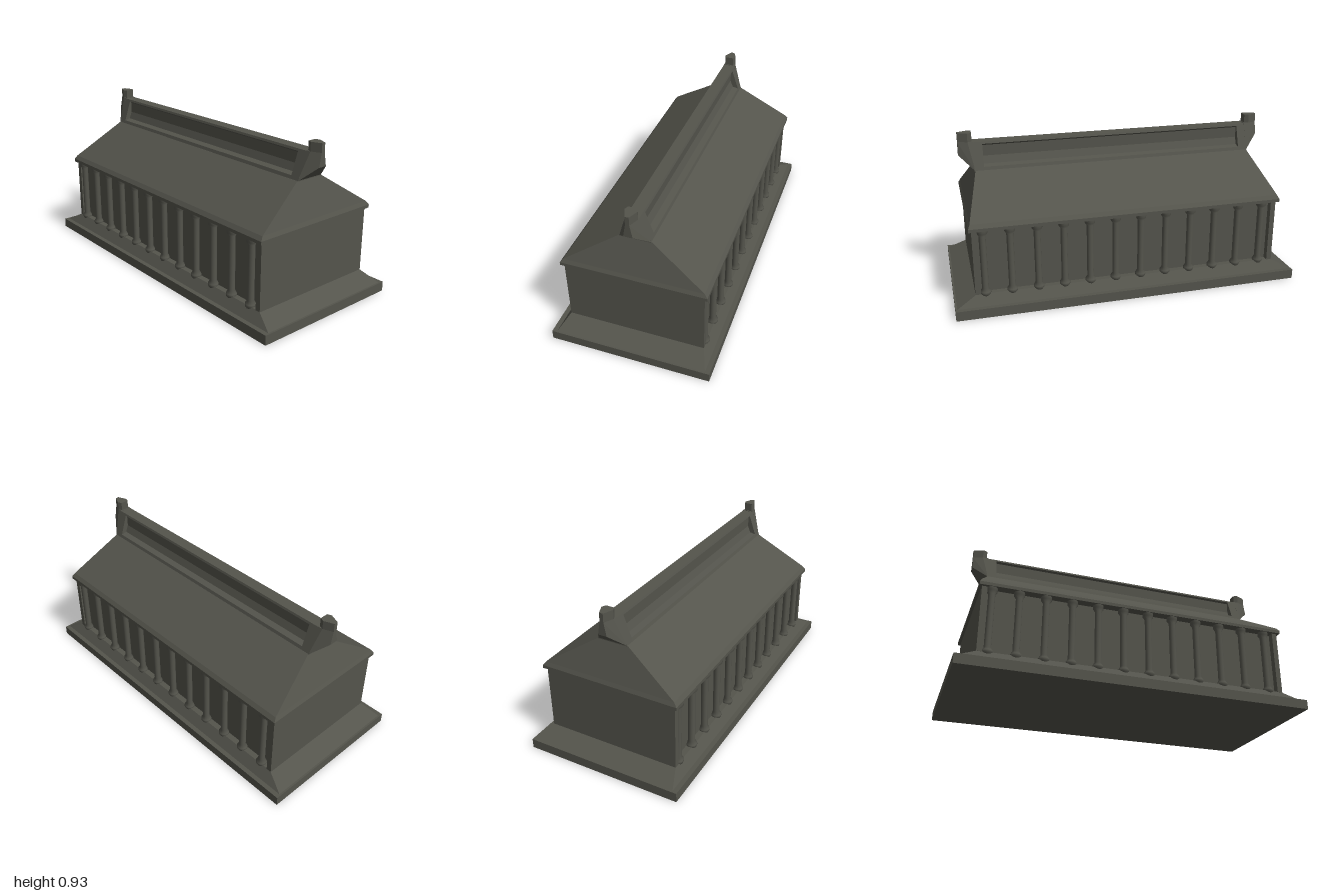
import * as THREE from 'three';
import { ConvexGeometry } from 'three/addons/geometries/ConvexGeometry.js';

const stone = new THREE.MeshStandardMaterial({ color: 0x54544c });
stone.name = 'dark stone';

function add(parent, name, geometry, x = 0, y = 0, z = 0) {
  const mesh = new THREE.Mesh(geometry, stone);
  mesh.name = name;
  mesh.position.set(x, y, z);
  parent.add(mesh);
  return mesh;
}

// Closed stack of rectangles, each given as [half x, half z, y]
function stack(rings) {
  const pos = [], idx = [];
  rings.forEach(([x, z, y]) => pos.push(x, y, z, x, y, -z, -x, y, -z, -x, y, z));
  for (let i = 0; i < rings.length - 1; i++) {
    for (let j = 0; j < 4; j++) {
      const a = i * 4 + j, b = i * 4 + (j + 1) % 4;
      idx.push(a, b, b + 4, a, b + 4, a + 4);
    }
  }
  const t = (rings.length - 1) * 4;
  idx.push(0, 2, 1, 0, 3, 2, t, t + 1, t + 2, t, t + 2, t + 3);
  const g = new THREE.BufferGeometry();
  g.setAttribute('position', new THREE.Float32BufferAttribute(pos, 3));
  g.setIndex(idx);
  const flat = g.toNonIndexed();
  flat.computeVertexNormals();
  return flat;
}

// Symmetric [z, y] half profile extruded along x
function ridgePiece(half, x0, x1) {
  const pts = [...half, ...half.map(([z, y]) => [-z, y]).reverse()];
  const shape = new THREE.Shape(pts.map(([z, y]) => new THREE.Vector2(z, y)));
  const g = new THREE.ExtrudeGeometry(shape, { depth: x1 - x0, bevelEnabled: false });
  g.rotateY(Math.PI / 2);
  g.translate(x0, 0, 0);
  return g;
}

export function createModel() {
  const model = new THREE.Group();
  model.name = 'colonnadedHall';

  // Plinth with sloping upper face
  add(model, 'plinth', stack([[1, 0.457, 0], [1, 0.457, 0.055]]));
  add(model, 'plinthSlope', stack([[0.99, 0.43, 0.055], [0.88, 0.388, 0.112]]));

  // Recessed core and full-width end walls
  add(model, 'hallWalls', new THREE.BoxGeometry(1.72, 0.38, 0.71), 0, 0.3, 0);
  for (const s of [-1, 1]) {
    add(model, 'endWall', new THREE.BoxGeometry(0.03, 0.38, 0.78), s * 0.87, 0.3, 0);
  }

  // Twelve columns on each long side
  const profile = [[0, 0.09], [0.022, 0.095], [0.03, 0.11], [0.03, 0.122], [0.019, 0.14],
    [0.019, 0.45], [0.03, 0.466], [0.03, 0.49]].map(([r, y]) => new THREE.Vector2(r, y));
  const columnGeometry = new THREE.LatheGeometry(profile, 12);
  for (const turn of [0, Math.PI]) {
    const side = new THREE.Group();
    side.name = turn ? 'backColonnade' : 'frontColonnade';
    for (let i = 0; i < 12; i++) {
      add(side, 'column', columnGeometry, -0.828 + i * 0.148, 0, 0.374);
    }
    side.rotation.y = turn;
    model.add(side);
  }

  // Roof with a small chamfered eave
  add(model, 'roof', stack([[0.9, 0.407, 0.485], [0.9, 0.407, 0.503],
    [0.89, 0.39, 0.525], [0.82, 0.087, 0.722]]));

  // Ridge: recessed long panel between solid ends
  const solid = [[0.087, 0.72], [0.034, 0.873]];
  const recessed = [[0.087, 0.72], [0.08, 0.74], [0.045, 0.748], [0.028, 0.79],
    [0.028, 0.852], [0.038, 0.861], [0.034, 0.873]];
  add(model, 'ridge', ridgePiece(recessed, -0.77, 0.77));
  for (const s of [-1, 1]) {
    add(model, 'ridgeEnd', ridgePiece(solid, s > 0 ? 0.77 : -0.825, s > 0 ? 0.825 : -0.77));
  }

  // Upturned finials at both ends of the ridge
  const mirrored = (list) => list.flatMap(([x, y, z]) =>
    [new THREE.Vector3(x, y, z), new THREE.Vector3(x, y, -z)]);
  const bracket = new ConvexGeometry(mirrored([[0.82, 0.72, 0.087], [0.82, 0.875, 0.034],
    [0.85, 0.875, 0.034], [0.905, 0.8, 0.025], [0.905, 0.875, 0.011]]));
  const tip = new ConvexGeometry(mirrored([0.873, 0.925].flatMap((y) =>
    [[0.826, y, 0.024], [0.85, y, 0.034], [0.905, y, 0.011]])));
  for (const turn of [0, Math.PI]) {
    const finial = new THREE.Group();
    finial.name = turn ? 'rightFinial' : 'leftFinial';
    add(finial, 'finialBracket', bracket);
    add(finial, 'finialTip', tip);
    finial.rotation.y = turn;
    model.add(finial);
  }
  return model;
}
